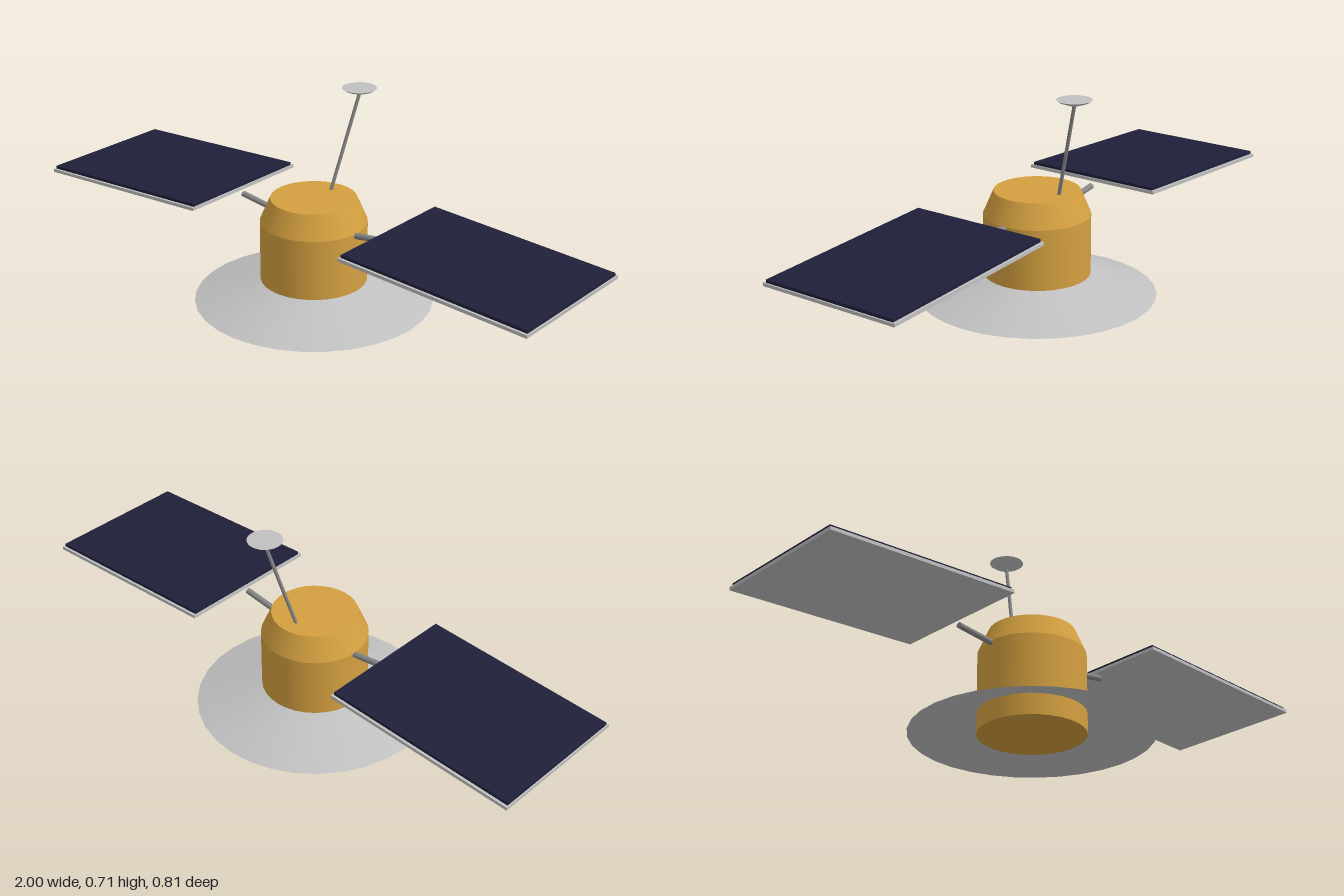
import * as THREE from 'three';

const material = (name, color) => {
  const m = new THREE.MeshStandardMaterial({ color });
  m.name = name;
  return m;
};

export function createModel() {
  const gold = material('gold foil', 0xd4a040);
  const silver = material('silver grey', 0xc0c0c0);
  silver.side = THREE.DoubleSide;
  const metal = material('dark metal', 0x888888);
  const solar = material('solar navy', 0x1f1f3a);

  const model = new THREE.Group();
  model.name = 'satellite';

  const add = (name, geometry, mat, parent = model) => {
    const mesh = new THREE.Mesh(geometry, mat);
    mesh.name = name;
    parent.add(mesh);
    return mesh;
  };

  // Round bar between two points
  const rod = (name, a, b, radius) => {
    const from = new THREE.Vector3(...a), to = new THREE.Vector3(...b);
    const dir = to.clone().sub(from);
    const mesh = add(name, new THREE.CylinderGeometry(radius, radius, dir.length(), 10), metal);
    mesh.position.copy(from).add(to).multiplyScalar(0.5);
    mesh.quaternion.setFromUnitVectors(new THREE.Vector3(0, 1, 0), dir.normalize());
    return mesh;
  };

  // Body: drum with a tapered shoulder
  add('body', new THREE.CylinderGeometry(0.18, 0.18, 0.28, 32, 1, false), gold).position.y = 0.14;
  add('shoulder', new THREE.CylinderGeometry(0.145, 0.18, 0.081, 32), gold).position.y = 0.3205;

  // Open conical skirt around the base
  add('skirt', new THREE.CylinderGeometry(0.18, 0.403, 0.072, 32, 1, true), silver).position.y = 0.036;

  // Leaning mast and its shallow dish
  rod('mast', [-0.003, 0.335, -0.083], [0.045, 0.685, -0.18], 0.006);
  const dish = new THREE.Group();
  dish.name = 'dish';
  dish.position.set(0.045, 0, -0.18);
  model.add(dish);
  const bowl = [[0, 0.682], [0.048, 0.699], [0.058, 0.706]].map(p => new THREE.Vector2(...p));
  add('dishBowl', new THREE.LatheGeometry(bowl, 24), silver, dish);
  const top = add('dishTop', new THREE.CircleGeometry(0.058, 24), silver, dish);
  top.rotation.x = -Math.PI / 2;
  top.position.y = 0.706;

  // Support arms and drooping solar panels on both sides
  for (const [side, s] of [['left', 1], ['right', -1]]) {
    rod(side + 'Arm', [s * 0.15, 0.269, 0], [s * 0.315, 0.291, 0], 0.0105);
    const panel = new THREE.Group();
    panel.name = side + 'Panel';
    panel.position.set(s * 0.654, 0.2995, 0);
    panel.rotation.z = -s * 0.052;
    model.add(panel);
    add('panelFrame', new THREE.BoxGeometry(0.692, 0.011, 0.514), silver, panel);
    add('solarCells', new THREE.BoxGeometry(0.682, 0.01, 0.496), solar, panel).position.y = 0.0105;
  }
  return model;
}
